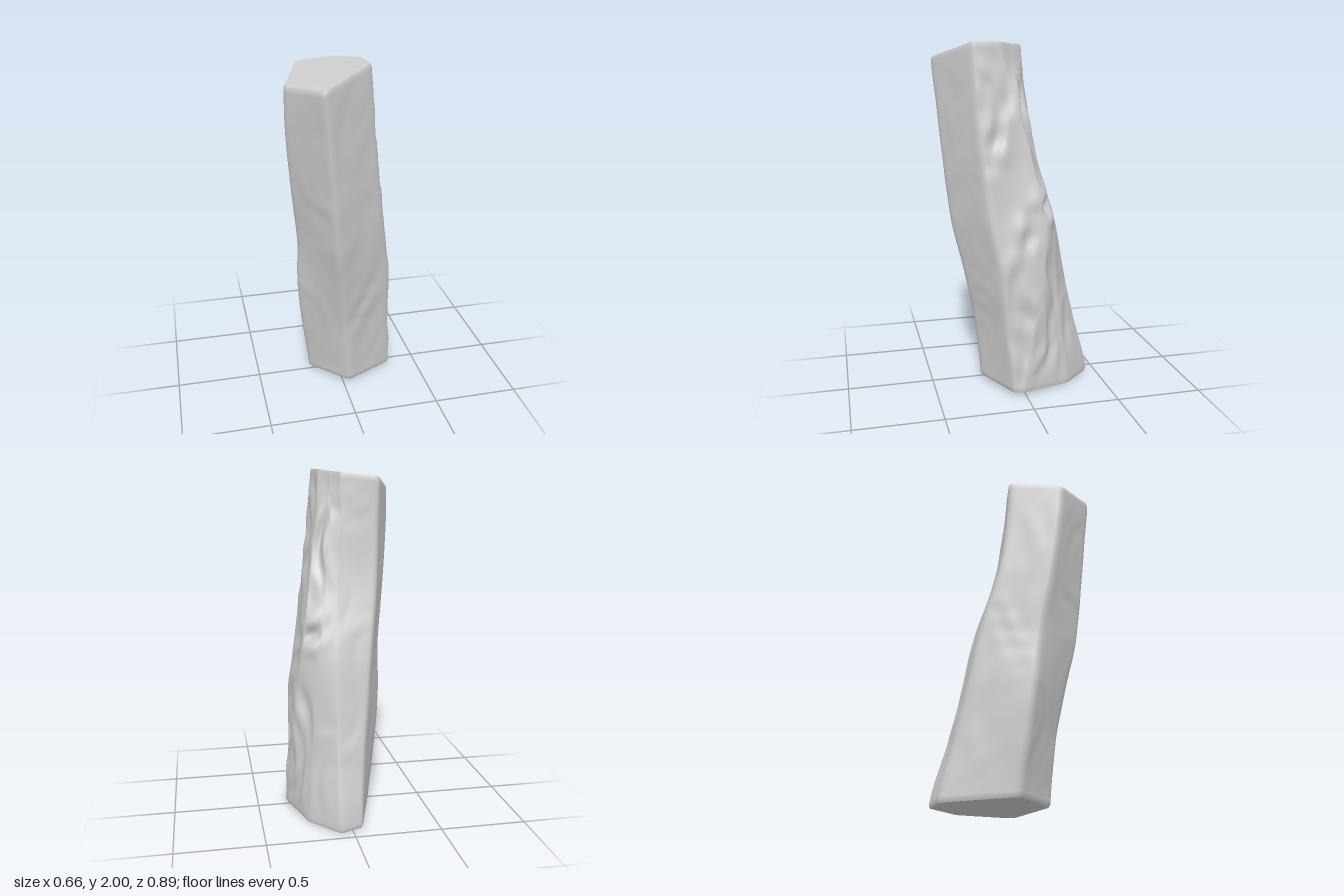
import * as THREE from 'three';

// Heights along the column at which the corner positions are given
const KEYS = [0, 0.2, 0.35, 0.5, 0.7, 0.87, 1];
// Each corner: bottom height, top height, roughness of the face after it, [x, z] at each key
const CORNERS = [
  { y0: 0.025, y1: 1.9, rough: 0.003, path: [[-0.185, 0], [-0.235, 0.045], [-0.262, 0.08], [-0.262, 0.112], [-0.303, 0.175], [-0.33, 0.215], [-0.335, 0.237]] },
  { y0: 0.025, y1: 1.915, rough: 0.004, path: [[0.03, 0.217], [0, 0.25], [-0.03, 0.305], [-0.07, 0.367], [-0.105, 0.406], [-0.135, 0.432], [-0.16, 0.453]] },
  { y0: 0.02, y1: 2.0, rough: 0.016, path: [[0.32, 0.075], [0.3, 0.11], [0.29, 0.135], [0.25, 0.18], [0.19, 0.228], [0.152, 0.25], [0.127, 0.26]] },
  { y0: 0.02, y1: 2.0, rough: 0.018, path: [[0.333, 0.01], [0.308, -0.065], [0.28, -0.12], [0.242, -0.13], [0.188, -0.055], [0.135, 0.025], [0.11, 0.1]] },
  { y0: 0.005, y1: 1.99, rough: 0.006, path: [[0.236, -0.28], [0.202, -0.238], [0.192, -0.212], [0.152, -0.202], [0.098, -0.105], [0.065, -0.045], [0.052, 0.025]] },
  { y0: 0, y1: 1.985, rough: 0.003, path: [[0.07, -0.453], [0.07, -0.355], [0.06, -0.29], [0.05, -0.233], [0.02, -0.118], [0, -0.07], [0, -0.045]] },
  { y0: 0.005, y1: 1.96, rough: 0.003, path: [[-0.06, -0.41], [-0.085, -0.33], [-0.117, -0.272], [-0.147, -0.22], [-0.195, -0.122], [-0.208, -0.082], [-0.217, -0.072]] },
];
CORNERS.forEach((c) => { c.curve = new THREE.SplineCurve(c.path.map((p) => new THREE.Vector2(...p))); });
const PER_FACE = 14, ROWS = 120, N = CORNERS.length * PER_FACE;

// Smooth corner position at height fraction t
function cornerAt(c, t) {
  let i = 0;
  while (i < KEYS.length - 2 && t > KEYS[i + 1]) i++;
  const f = (t - KEYS[i]) / (KEYS[i + 1] - KEYS[i]);
  const p = c.curve.getPoint((i + f) / (KEYS.length - 1));
  return new THREE.Vector3(p.x, c.y0 + (c.y1 - c.y0) * t, p.y);
}

// Layered waves, stretched along the shaft, that read as chipped stone
function stoneNoise(p) {
  const w = Math.sin(p.y * 7.3 + p.z * 11) + Math.sin(p.y * 3.1 - p.x * 17);
  return Math.sin(p.y * 8 + p.z * 29 + w * 1.7) * 0.6
    + Math.sin(p.z * 47 - p.y * 5 + p.x * 23 + w * 2.3) * 0.45
    + Math.sin(p.y * 27 + p.x * 53 - p.z * 19 + w * 3) * 0.25;
}

// One closed ring of the column, with softened corners
function ringAt(t) {
  const corners = CORNERS.map((c) => cornerAt(c, t));
  const fade = Math.min(1, Math.min(t, 1 - t) * 9);
  const ring = [];
  corners.forEach((a, k) => {
    const b = corners[(k + 1) % corners.length];
    const out = new THREE.Vector3(-(b.z - a.z), 0, b.x - a.x).normalize();
    for (let j = 0; j < PER_FACE; j++) {
      const f = j / PER_FACE;
      const p = a.clone().lerp(b, f);
      const amount = CORNERS[k].rough * fade * Math.sin(Math.PI * f) ** 0.5;
      ring.push(p.addScaledVector(out, amount * stoneNoise(p)));
    }
  });
  return ring.map((p, i) => p.clone().multiplyScalar(2)
    .add(ring[(i + 1) % N]).add(ring[(i + N - 1) % N]).multiplyScalar(0.25));
}

function centreOf(ring) {
  return ring.reduce((s, p) => s.add(p), new THREE.Vector3()).divideScalar(N);
}

function meshFrom(points, index, name, material) {
  const g = new THREE.BufferGeometry().setFromPoints(points);
  g.setIndex(index);
  g.computeVertexNormals();
  const mesh = new THREE.Mesh(g, material);
  mesh.name = name;
  return mesh;
}

// Broken end surface, closed with a fan
function endCap(ring, up, name, material) {
  const index = [];
  for (let i = 0; i < N; i++) {
    const j = (i + 1) % N;
    index.push(N, ...(up ? [i, j] : [j, i]));
  }
  return meshFrom([...ring, centreOf(ring)], index, name, material);
}

export function createModel() {
  const group = new THREE.Group();
  group.name = 'stoneColumn';
  const stone = new THREE.MeshStandardMaterial({ color: 0xcccccc });

  // Leaning many-sided shaft
  const rings = [];
  for (let r = 0; r <= ROWS; r++) rings.push(ringAt(r / ROWS));

  // Slightly worn rim at both ends
  for (const r of [0, ROWS]) {
    const mid = centreOf(rings[r]);
    rings[r].forEach((p) => { p.x += (mid.x - p.x) * 0.025; p.z += (mid.z - p.z) * 0.025; });
  }
  const index = [];
  for (let r = 0; r < ROWS; r++) {
    for (let i = 0; i < N; i++) {
      const j = (i + 1) % N, a = r * N + i, b = r * N + j;
      index.push(a, b, b + N, a, b + N, a + N);
    }
  }
  group.add(meshFrom(rings.flat(), index, 'shaft', stone));
  group.add(endCap(rings[ROWS], true, 'topFace', stone));
  group.add(endCap(rings[0], false, 'bottomFace', stone));
  return group;
}
